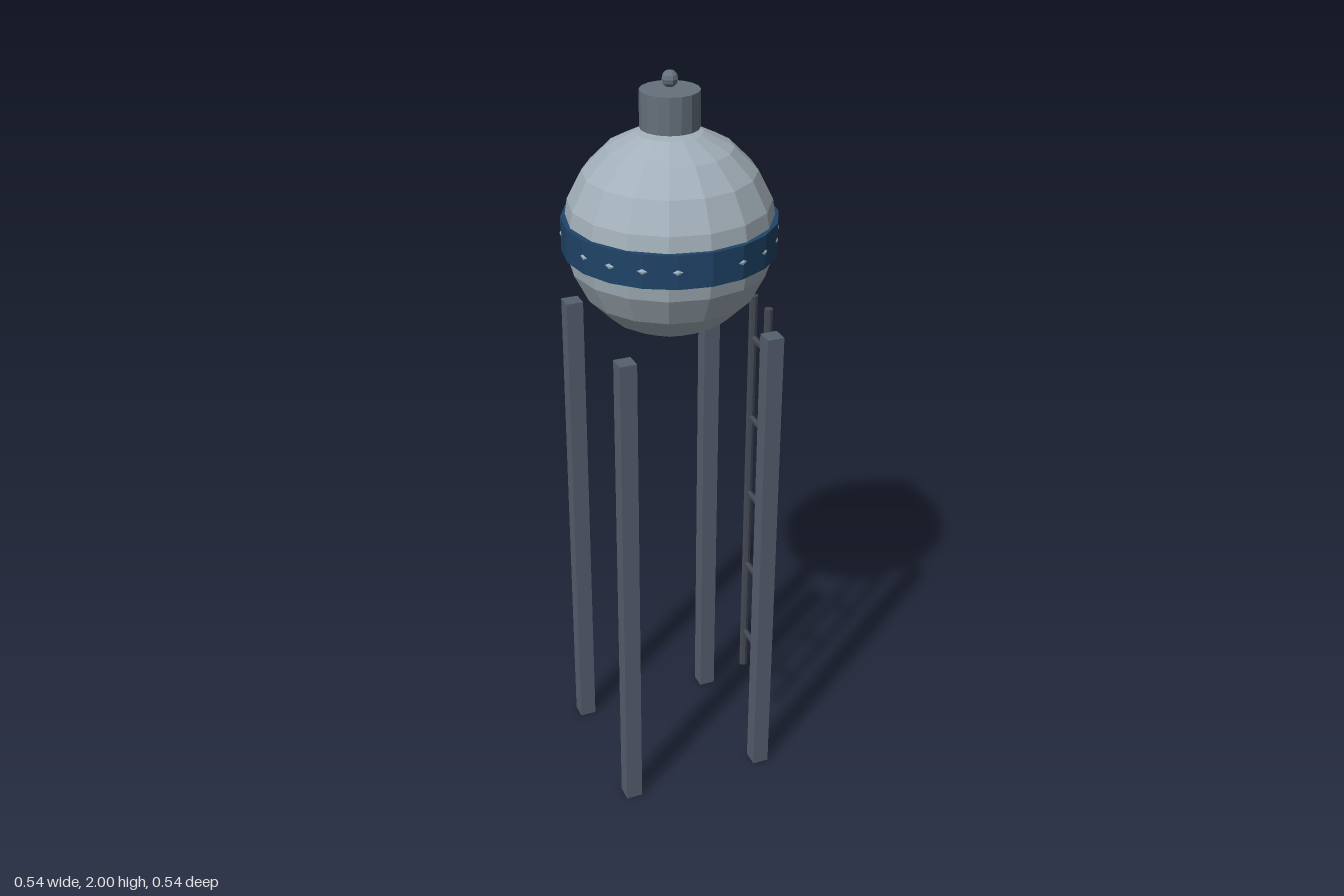
import * as THREE from 'three';

const paint = (color) => new THREE.MeshStandardMaterial({ color, flatShading: true });

export function createModel() {
  const tower = new THREE.Group();
  tower.name = 'waterTower';
  const shell = paint(0xa3b0ba);
  const navy = paint(0x1f4468);
  const steel = paint(0x565f6e);
  const hatchGrey = paint(0x66717c);
  const iron = paint(0x434853);
  const rivetGrey = paint(0xa3b8c8);

  const add = (parent, name, geometry, material, x, y, z) => {
    const mesh = new THREE.Mesh(geometry, material);
    mesh.name = name;
    mesh.position.set(x, y, z);
    parent.add(mesh);
    return mesh;
  };

  // Spherical tank with its belt, hatch and finial
  const tankY = 1.598;
  add(tower, 'tank', new THREE.SphereGeometry(0.266, 16, 10), shell, 0, tankY, 0);
  add(tower, 'belt', new THREE.CylinderGeometry(0.27, 0.27, 0.086, 20), navy, 0, tankY, 0);
  add(tower, 'hatch', new THREE.CylinderGeometry(0.074, 0.074, 0.092, 16), hatchGrey, 0, 1.908, 0);
  add(tower, 'finial', new THREE.SphereGeometry(0.021, 8, 6), hatchGrey, 0, 1.979, 0);

  // Flat diamond rivets on the belt corners, none on the four main axes
  const rivets = new THREE.Group();
  rivets.name = 'rivets';
  const rivet = new THREE.OctahedronGeometry(0.013).scale(1, 1, 0.35);
  for (let i = 0; i < 20; i++) {
    if (i % 5 === 0) continue;
    const a = (i * Math.PI) / 10;
    const mesh = add(rivets, 'rivet', rivet, rivetGrey, 0.268 * Math.sin(a), tankY, 0.268 * Math.cos(a));
    mesh.rotation.y = a;
  }
  tower.add(rivets);

  // Four square legs
  const leg = new THREE.BoxGeometry(0.045, 1.36, 0.045);
  for (const sx of [-1, 1]) {
    for (const sz of [-1, 1]) add(tower, 'leg', leg, steel, sx * 0.196, 0.68, sz * 0.196);
  }

  // Ladder on the left side
  const ladder = new THREE.Group();
  ladder.name = 'ladder';
  ladder.position.x = 0.257;
  const rail = new THREE.CylinderGeometry(0.012, 0.012, 1.206, 8);
  for (const s of [-1, 1]) add(ladder, 'ladderRail', rail, iron, 0, 0.757, s * 0.046);
  const rung = new THREE.CylinderGeometry(0.009, 0.009, 0.092, 6).rotateX(Math.PI / 2);
  for (let i = 0; i < 5; i++) add(ladder, 'ladderRung', rung, iron, 0, 0.276 + i * 0.2405, 0);
  tower.add(ladder);

  return tower;
}
